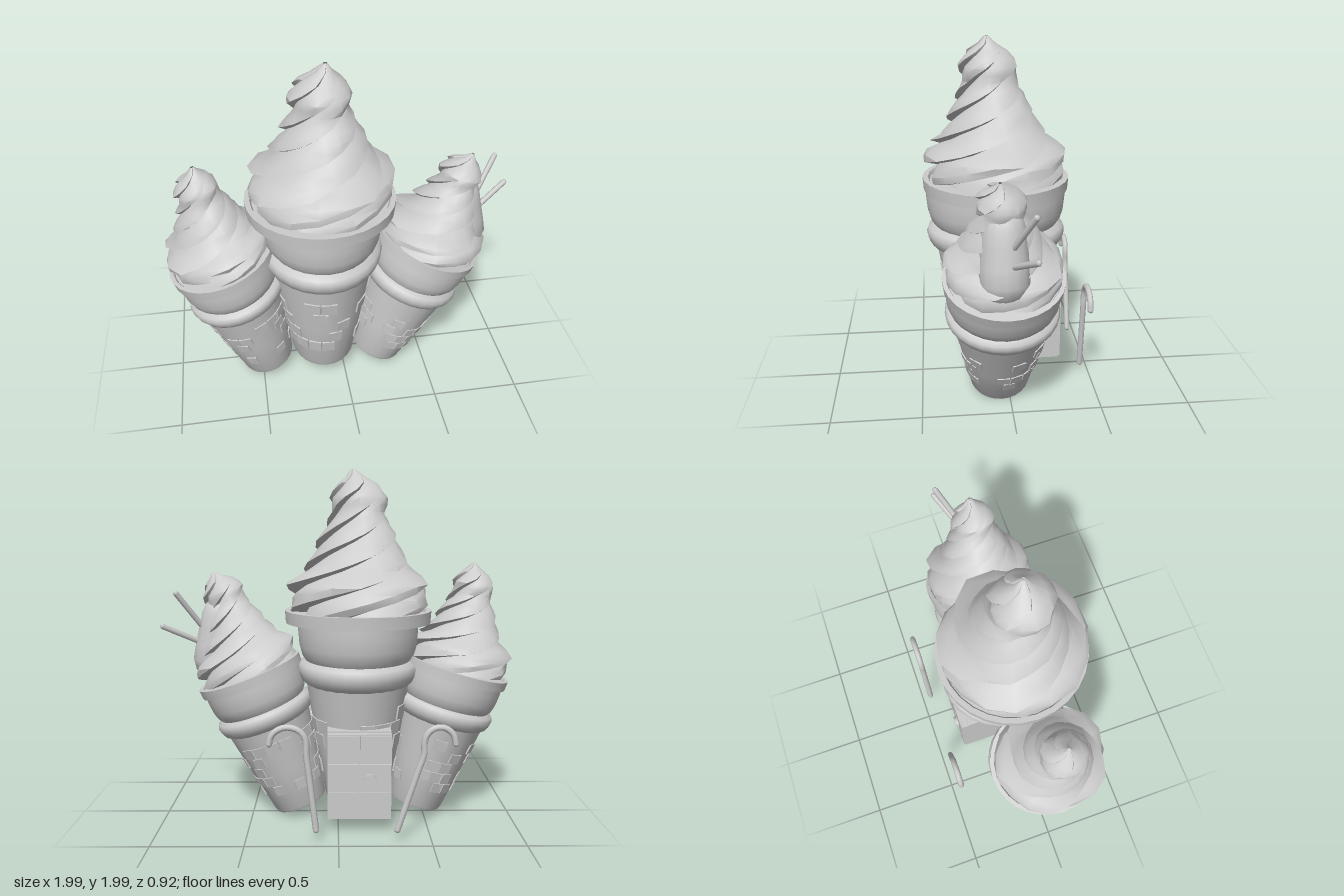
import * as THREE from 'three';
import { mergeGeometries, toCreasedNormals } from 'three/addons/utils/BufferGeometryUtils.js';

const material = new THREE.MeshStandardMaterial({ color: 0xcccccc, side: THREE.DoubleSide });

function add(parent, name, geometry, x = 0, y = 0, z = 0) {
  const mesh = new THREE.Mesh(geometry, material);
  mesh.name = name;
  mesh.position.set(x, y, z);
  parent.add(mesh);
  return mesh;
}

function lathe(points, segments) {
  const g = new THREE.LatheGeometry(points.map(p => new THREE.Vector2(p[0], p[1])), segments);
  return toCreasedNormals(g, 0.8);
}

function seeded(seed) {
  return () => (seed = (seed * 16807) % 2147483647) / 2147483647;
}

// Straight rod between two points
function rod(parent, name, from, to, radius) {
  const path = new THREE.LineCurve3(new THREE.Vector3(...from), new THREE.Vector3(...to));
  add(parent, name, new THREE.TubeGeometry(path, 1, radius, 8));
  for (const p of [from, to]) add(parent, name + 'End', new THREE.SphereGeometry(radius, 8, 4), ...p);
}

// Soft-serve swirl: tapering rings of saw-toothed ropes, twisted as they rise
const swirlProfile = [[0, 0.385], [0.08, 0.405], [0.17, 0.415], [0.24, 0.315], [0.3, 0.28], [0.4, 0.235],
  [0.5, 0.185], [0.55, 0.155], [0.64, 0.17], [0.7, 0.135], [0.74, 0.09], [0.77, 0.035], [0.8, 0.012]];
const ropeAngles = [0.0, 0.28, 0.6, 0.9];
const ropeRadii = [0.8, 0.91, 0.98, 1.0];

function swirlRadius(h) {
  const i = Math.max(1, swirlProfile.findIndex(p => p[0] >= h - 1e-6));
  const [h0, r0] = swirlProfile[i - 1], [h1, r1] = swirlProfile[i];
  return r0 + (r1 - r0) * (h - h0) / (h1 - h0);
}

function swirlGeometry(seed) {
  const random = seeded(seed), rows = 20, ropes = 5, per = ropeAngles.length, n = ropes * per;
  const positions = [], index = [];
  for (let i = 0; i <= rows; i++) {
    const h = 0.8 * i / rows, R = swirlRadius(h), twist = 9.5 * h + seed;
    const leanX = h > 0.7 ? (h - 0.7) * 0.3 : 0, leanZ = 0.05 * h / 0.8;
    for (let j = 0; j < n; j++) {
      const k = j % per;
      const a = (Math.floor(j / per) + ropeAngles[k]) / ropes * Math.PI * 2 + twist;
      const r = R * ropeRadii[k] * (0.965 + 0.06 * random());
      positions.push(Math.sin(a) * r + leanX, h, Math.cos(a) * r + leanZ);
    }
  }
  for (let i = 0; i < rows; i++) {
    for (let j = 0; j < n; j++) {
      const a = i * n + j, b = i * n + (j + 1) % n;
      index.push(a, b, a + n, b, b + n, a + n);
    }
  }
  const g = new THREE.BufferGeometry();
  g.setAttribute('position', new THREE.Float32BufferAttribute(positions, 3));
  g.setIndex(index);
  return toCreasedNormals(g, 0.7);
}

// Scattered, slightly raised waffle blocks around the cone wall
function waffleBlocks(seed) {
  const random = seeded(seed), blocks = [], columns = 18, slope = 0.188;
  for (let row = 0; row < 5; row++) {
    for (let c = 0; c < columns; c++) {
      if (random() > 0.42) continue;
      const y = 0.2 + row * 0.085, r = 0.22 + y * slope;
      const g = new THREE.BoxGeometry(Math.PI * 2 * r / columns * 0.92, 0.078, 0.02);
      g.rotateX(Math.atan(slope));
      g.translate(0, y, r - 0.005);
      g.rotateY((c + (row % 2) * 0.5) / columns * Math.PI * 2);
      blocks.push(g);
    }
  }
  return mergeGeometries(blocks);
}

// One complete cone with its swirl, standing on its own base
function iceCream(parent, name, position, tilt, scale, widthX, bandX, swirlTilt, seed) {
  const g = new THREE.Group();
  g.name = name;
  g.position.set(...position);
  g.rotation.z = tilt;
  g.scale.setScalar(scale);
  parent.add(g);

  const body = new THREE.Group();
  body.name = 'wafer';
  body.scale.x = widthX;
  g.add(body);
  add(body, 'cone', lathe([[0, 0], [0.212, 0], [0.22, 0.015], [0.282, 0.33], [0.35, 0.69]], 24));
  add(body, 'ring', lathe([[0.345, 0.68], [0.378, 0.7], [0.398, 0.735], [0.406, 0.77], [0.395, 0.8], [0.355, 0.82]], 28));
  add(body, 'bowl', lathe([[0.355, 0.815], [0.38, 0.85], [0.395, 0.9], [0.403, 0.98], [0.404, 1.05]], 28));
  add(body, 'waffleBlocks', waffleBlocks(seed * 9973));

  const rim = add(g, 'rimBand', lathe([[0.36, 1.03], [0.415, 1.03], [0.42, 1.1], [0.39, 1.1], [0.38, 1.08], [0, 1.08]], 28));
  rim.scale.x = bandX;
  const swirl = add(g, 'swirl', swirlGeometry(seed), 0, 1.09, 0);
  swirl.scale.x = bandX;
  swirl.rotation.z = swirlTilt;
}

// Hooked cane: leaning shaft with a half-circle crook
function cane(parent, name, footX, neckX, endX) {
  const z = -0.445, r = (endX - neckX) / 2, points = [];
  for (let i = 0; i <= 4; i++) points.push(new THREE.Vector3(footX + (neckX - footX) * i / 4, 0.07 + 0.42 * i / 4, z));
  for (let i = 0; i <= 8; i++) {
    const a = Math.PI * i / 8;
    points.push(new THREE.Vector3(neckX + r * (1 - Math.cos(a)), 0.545 + 0.09 * Math.sin(a), z));
  }
  add(parent, name, new THREE.TubeGeometry(new THREE.CatmullRomCurve3(points), 32, 0.017, 8));
  for (const p of [points[0], points[points.length - 1]])
    add(parent, name + 'End', new THREE.SphereGeometry(0.017, 8, 6), p.x, p.y, p.z);
}

export function createModel() {
  const model = new THREE.Group();
  model.name = 'iceCreamStand';

  iceCream(model, 'middleIceCream', [-0.115, 0.1, 0.04], 0, 1, 0.855, 1, 0, 3);
  iceCream(model, 'leftIceCream', [0.22, 0.055, 0.05], -0.36, 0.765, 0.93, 0.96, 0.05, 5);
  iceCream(model, 'rightIceCream', [-0.46, 0.06, 0.05], 0.275, 0.765, 0.93, 0.96, -0.08, 8);

  // Rounded topping pressed into the left swirl, with two straws
  const topping = add(model, 'topping', lathe([[0, 0], [0.06, 0.012], [0.11, 0.05], [0.133, 0.11], [0.128, 0.2],
    [0.118, 0.3], [0.112, 0.38], [0.092, 0.44], [0.05, 0.48], [0, 0.49]], 16), 0.722, 0.79, 0.067);
  topping.rotation.z = 0.13;
  rod(model, 'straw', [0.75, 1.06, 0.05], [0.905, 1.3, -0.06], 0.016);
  rod(model, 'straw', [0.74, 0.985, 0.06], [0.985, 1.115, -0.06], 0.016);

  // Doorway at the back
  const door = new THREE.Group();
  door.name = 'doorway';
  door.position.set(-0.115, 0, 0);
  model.add(door);
  add(door, 'porch', new THREE.BoxGeometry(0.35, 0.49, 0.29), 0, 0.325, -0.145);
  add(door, 'doorSlab', new THREE.BoxGeometry(0.35, 0.48, 0.035), 0, 0.32, -0.305);
  for (const col of [-1, 1])
    for (let row = 0; row < 3; row++)
      add(door, 'doorPanel', new THREE.BoxGeometry(0.165, 0.15, 0.012), col * 0.088, 0.162 + row * 0.158, -0.328);
  const knob = add(door, 'doorKnob', new THREE.CylinderGeometry(0.034, 0.034, 0.02, 12), -0.06, 0.31, -0.343);
  knob.rotation.x = Math.PI / 2;

  cane(model, 'leftCane', 0.12, 0.17, 0.365);
  cane(model, 'rightCane', -0.315, -0.45, -0.615);
  return model;
}
